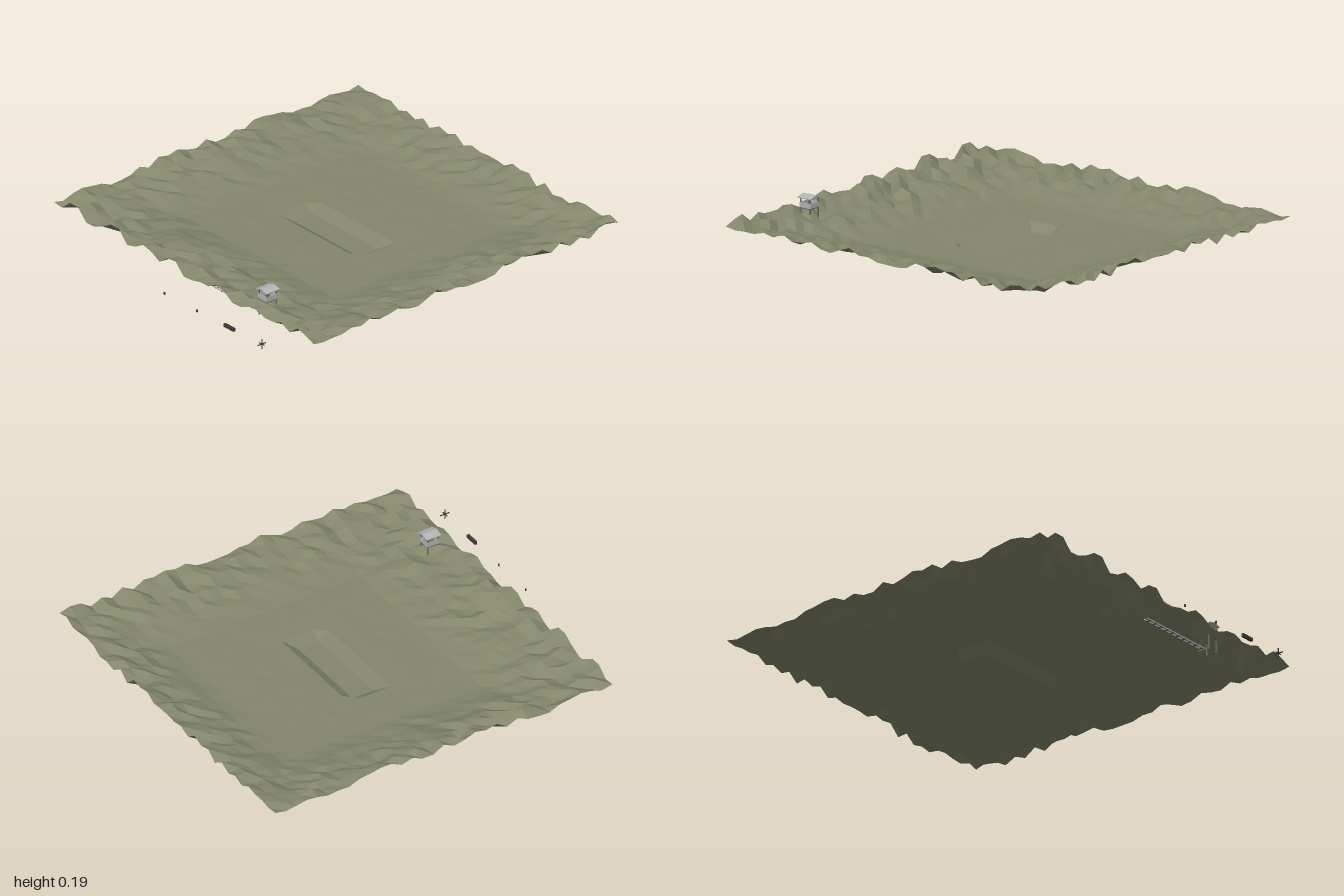
import * as THREE from 'three';

const mat = (name, color, extra = {}) => Object.assign(new THREE.MeshStandardMaterial({ color, ...extra }), { name });

// small seeded random generator
function seeded(seed) {
  return () => {
    seed = (seed * 1664525 + 1013904223) % 4294967296;
    return seed / 4294967296;
  };
}

export function createModel() {
  const earth = mat('olive earth', 0x83866b, { flatShading: true, side: THREE.DoubleSide });
  const grey = mat('light grey', 0xb4b4b4, { side: THREE.DoubleSide });
  const dark = mat('dark metal', 0x3c3c39);
  const wood = mat('tower frame', 0x6e6e64);
  const model = new THREE.Group();

  const box = (parent, name, material, size, pos) => {
    const m = new THREE.Mesh(new THREE.BoxGeometry(...size), material);
    m.name = name;
    m.position.set(...pos);
    parent.add(m);
    return m;
  };

  // Terrain: flat field, rough raised rim, rectangular pit in the middle
  const N = 32, SIZE = 1.856, FLOOR = 0.036;
  const ground = new THREE.PlaneGeometry(SIZE, SIZE, N, N);
  ground.rotateX(-Math.PI / 2);
  ground.translate(-0.002, 0, -0.072);
  const rand = seeded(77);
  const p = ground.attributes.position;
  for (let j = 0; j <= N; j++) {
    for (let i = 0; i <= N; i++) {
      const k = j * (N + 1) + i, x = p.getX(k), z = p.getZ(k);
      const side = Math.max(0, (Math.abs(x) - 0.53) / 0.4);
      const back = Math.max(0, (-z - 0.68) / 0.32);
      const front = Math.max(0, (z - 0.38) / 0.48);
      const base = Math.max(side * 0.055, back * 0.04, front * 0.06);
      const rough = Math.max(side * 0.052, back * 0.058, front * 0.07, 0.002);
      let y = FLOOR + base + rough * rand();
      if (j >= 13 && j <= 19 && i >= 10 && i <= 22) y = FLOOR;
      if (j >= 15 && j <= 17 && i >= 12 && i <= 20) y = 0;
      p.setY(k, y);
    }
  }
  ground.computeVertexNormals();
  const terrain = new THREE.Mesh(ground, earth);
  terrain.name = 'terrain';
  model.add(terrain);

  // Watchtower
  const tower = new THREE.Group();
  tower.name = 'watchtower';
  tower.position.set(0.464, 0, 0.742);
  model.add(tower);
  for (const sx of [-1, 1]) {
    for (const sz of [-1, 1]) {
      box(tower, 'towerLeg', wood, [0.006, 0.13, 0.006], [sx * 0.028, 0.11, sz * 0.028]);
    }
    box(tower, 'sideParapet', grey, [0.003, 0.025, 0.062], [sx * 0.031, 0.143, 0]);
    box(tower, 'endParapet', grey, [0.062, 0.025, 0.003], [0, 0.143, sx * 0.031]);
    const slope = box(tower, 'roofSlope', grey, [0.04, 0.004, 0.08], [sx * 0.019, 0.183, 0]);
    slope.rotation.z = -sx * 0.3;
  }
  box(tower, 'platform', wood, [0.064, 0.005, 0.064], [0, 0.128, 0]);

  // Long pair of rails
  for (const dz of [-0.009, 0.009]) {
    box(model, 'rail', grey, [0.43, 0.006, 0.004], [0.215, 0.049, 0.745 + dz]);
  }
  for (let i = 0; i < 10; i++) {
    box(model, 'railTie', dark, [0.005, 0.003, 0.024], [0.02 + i * 0.043, 0.045, 0.745]);
  }

  // Row of small loose objects in front
  box(model, 'smallPost', dark, [0.006, 0.012, 0.006], [0, 0.05, 0.975]);
  box(model, 'smallPost', dark, [0.006, 0.012, 0.006], [0.232, 0.05, 0.975]);
  box(model, 'lowBarrier', dark, [0.07, 0.016, 0.013], [0.463, 0.056, 0.975]);

  // Crossed bar obstacle
  const obstacle = new THREE.Group();
  obstacle.name = 'crossedObstacle';
  obstacle.position.set(0.695, 0.06, 0.975);
  model.add(obstacle);
  box(obstacle, 'obstacleBarX', dark, [0.036, 0.004, 0.004], [0, 0, 0]);
  box(obstacle, 'obstacleBarY', dark, [0.004, 0.05, 0.004], [0, 0, 0]);
  box(obstacle, 'obstacleBarZ', dark, [0.004, 0.004, 0.05], [0, 0, 0]);

  return model;
}
